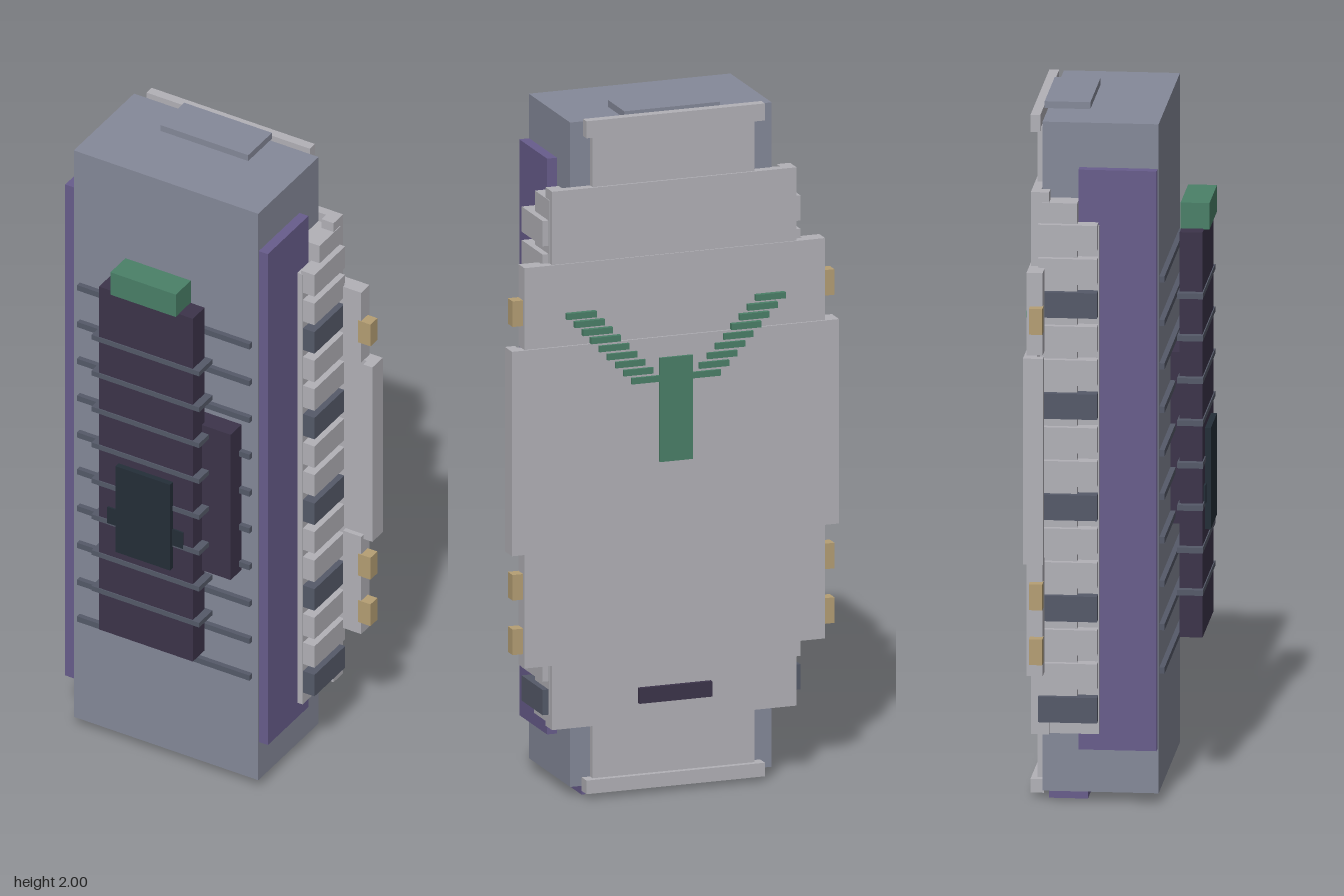
import * as THREE from 'three';

const mat = (name, color) => Object.assign(new THREE.MeshStandardMaterial({ color }), { name });

export function createModel() {
  const model = new THREE.Group();
  model.name = 'armouredBackpack';

  const steel = mat('blue grey', 0x858999);
  const plate = mat('light grey', 0xb2b1b7);
  const purple = mat('purple', 0x685d8c);
  const dark = mat('dark plum', 0x3c344a);
  const slate = mat('slate', 0x555a69);
  const ink = mat('dark teal', 0x242e38);
  const green = mat('green', 0x4a8068);
  const gold = mat('gold', 0xb59f74);

  // box given by its lower and upper limits on each axis
  const box = (name, m, x0, x1, y0, y1, z0, z1) => {
    const mesh = new THREE.Mesh(new THREE.BoxGeometry(x1 - x0, y1 - y0, z1 - z0), m);
    mesh.position.set((x0 + x1) / 2, (y0 + y1) / 2, (z0 + z1) / 2);
    mesh.name = name;
    model.add(mesh);
  };
  const centred = (name, m, w, ...rest) => box(name, m, -w, w, ...rest);
  const pair = (name, m, x0, x1, ...rest) => {
    box(name + 'Left', m, x0, x1, ...rest);
    box(name + 'Right', m, -x1, -x0, ...rest);
  };

  // main case
  centred('body', steel, 0.305, 0.03, 1.98, -0.205, 0.125);
  centred('topCap', steel, 0.145, 1.98, 2.0, -0.215, -0.085);
  centred('bottomFoot', purple, 0.265, 0, 0.03, -0.19, -0.08);
  pair('sidePanel', purple, 0.305, 0.335, 0.16, 1.85, -0.1, 0.122);

  // front ribs
  for (let i = 0; i < 10; i++) {
    const y = 0.383 + i * 0.1267;
    centred('frontRib', slate, 0.285, y - 0.009, y + 0.009, 0.125, 0.14);
  }

  // front column with fins
  centred('frontColumn', dark, 0.155, 0.45, 1.63, 0.17, 0.235);
  for (let i = 0; i < 8; i++) {
    const y = 0.585 + i * 0.1235;
    centred('columnFin', slate, 0.178, y - 0.008, y + 0.008, 0.165, 0.238);
  }
  centred('columnCap', green, 0.108, 1.628, 1.705, 0.168, 0.25);
  centred('frontPanelBar', ink, 0.125, 0.83, 0.885, 0.2, 0.24);
  centred('frontPanel', ink, 0.09, 0.75, 1.045, 0.235, 0.252);
  box('sideBox', dark, 0.03, 0.25, 0.735, 1.235, 0.125, 0.185);

  // toothed flanks, every third tooth dark
  pair('flankStrip', plate, 0.3, 0.372, 0.25, 1.76, -0.215, -0.1);
  pair('flankStep', plate, 0.335, 0.352, 0.21, 1.69, -0.2, -0.04);
  for (let i = 0; i < 15; i++) {
    const y = 0.25 + i * 0.0983;
    pair('flankTooth', i % 3 ? plate : slate, 0.345, 0.39, y, y + 0.074, -0.21, -0.042);
  }

  // stepped back plates: half width, bottom, top, back z, lip width, lip front z
  const plates = [
    [0.495, 0.735, 1.335, -0.242, 0.03, -0.185],
    [0.455, 0.4, 0.735, -0.236, 0.06, -0.19],
    [0.455, 1.335, 1.575, -0.236, 0.06, -0.19],
    [0.37, 0.21, 0.4, -0.232, 0.04, -0.18],
    [0.37, 1.575, 1.79, -0.232, 0.04, -0.18],
    [0.245, 0.05, 0.21, -0.226, 0.02, -0.2],
    [0.245, 1.79, 1.95, -0.226, 0.02, -0.2],
  ];
  for (const [w, y0, y1, z, lip, front] of plates) {
    centred('backPlate', plate, w - lip, y0, y1, z, -0.205);
    pair('backPlateLip', plate, w - lip, w, y0, y1, z, front);
  }
  centred('backTopBar', plate, 0.27, 1.94, 1.99, -0.243, -0.215);
  centred('backBottomBar', plate, 0.27, 0.015, 0.055, -0.243, -0.205);

  // gold studs
  for (const y of [0.44, 0.6, 1.403]) {
    pair('stud', gold, 0.445, 0.487, y, y + 0.075, -0.226, -0.188);
  }

  // back emblem: a stem and two stepped arms, and a low slot
  centred('backStem', green, 0.05, 0.97, 1.275, -0.25, -0.24);
  for (let i = 0; i < 9; i++) {
    const x = 0.09 + i * 0.0245, y = 1.215 + i * 0.026;
    pair('backArmStep', green, x - 0.045, x + 0.045, y - 0.009, y + 0.009, -0.25, -0.23);
  }
  centred('backSlot', dark, 0.11, 0.265, 0.31, -0.245, -0.23);

  return model;
}
